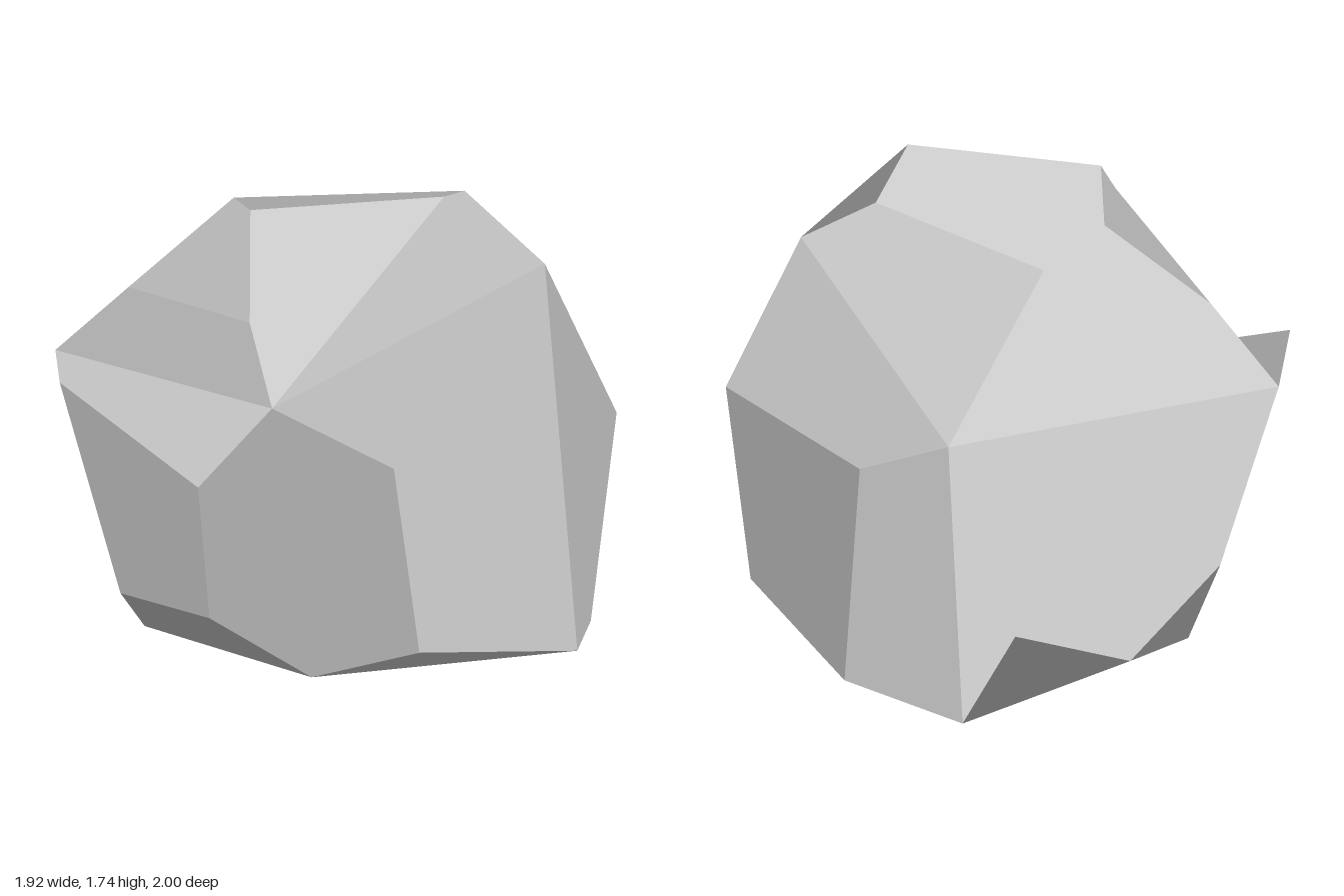
import * as THREE from 'three';

// Corner points of the boulder
const P = {
  // crown
  A: [-0.40, 1.69, 0.14], B: [0.18, 1.74, 0.57], C: [0.48, 1.70, 0.30], D: [0.62, 1.45, 0.61],
  E: [-0.19, 1.67, -0.24], F: [0.12, 1.60, -0.32], G: [0.70, 1.14, -0.60], H: [-0.66, 1.08, -0.72],
  I: [-0.53, 1.34, -0.44], J: [-0.69, 1.34, 0.52],
  // girth
  K: [-0.79, 1.06, 0.79], L: [-0.38, 0.82, 1.00], R: [-0.965, 1.04, -0.29], S: [-0.81, 0.71, 0.36],
  U: [0.91, 0.87, 0.67], V: [0.90, 0.96, -0.29], Z: [-0.24, 0.57, -1.00], a: [0.60, 0.46, -0.92],
  // foot
  M: [0.53, 0.04, 0.93], N: [-0.20, 0.10, 0.92], O: [-0.53, 0.01, 0.69], p: [-0.765, 0.215, 0.37],
  Q: [-0.84, 0.26, -0.08], W: [0.96, 0.08, -0.28], X: [0.85, 0.08, 0.59], Y: [0.68, 0.00, -0.67],
  b: [0.12, 0.24, -0.95], c: [-0.36, 0.03, -0.565],
};

// Each facet is one or more triangle fans that share one flat normal
const FACETS = [
  ['EABCF', 'IEFGH'],                                   // top slope
  ['CDGF'], ['BKDC'], ['KBAJ'], ['JAEI'],               // upper facets
  ['LNMDK'], ['DMXU'], ['ONLKSp'],                      // front
  ['UVGD'], ['UXWV'], ['VWYG'],                         // left flank
  ['JIHK'], ['HRSK'], ['SRQp'], ['RHcQ'],               // right flank
  ['GYaZH', 'abZ'], ['ZbcH'], ['baYc'],                 // back
  ['MOcYWX'], ['OMN'], ['OpQc'],                        // underside
];

function facetGeometry(facets) {
  const positions = [], normals = [];
  for (const fans of facets) {
    const normal = new THREE.Vector3();
    let count = 0;
    for (const fan of fans) {
      for (let i = 1; i < fan.length - 1; i++) {
        const [u, v, w] = [fan[0], fan[i], fan[i + 1]].map((k) => new THREE.Vector3(...P[k]));
        positions.push(...u.toArray(), ...v.toArray(), ...w.toArray());
        // area-weighted mean over the facet
        normal.add(v.sub(u).cross(w.sub(u)));
        count += 3;
      }
    }
    normal.normalize();
    for (let i = 0; i < count; i++) normals.push(normal.x, normal.y, normal.z);
  }
  const geometry = new THREE.BufferGeometry();
  geometry.setAttribute('position', new THREE.Float32BufferAttribute(positions, 3));
  geometry.setAttribute('normal', new THREE.Float32BufferAttribute(normals, 3));
  return geometry;
}

export function createModel() {
  const stone = new THREE.MeshStandardMaterial({ color: 0xc8c8c8 });
  stone.name = 'stone grey';
  const boulder = new THREE.Mesh(facetGeometry(FACETS), stone);
  boulder.name = 'boulder';
  const model = new THREE.Group();
  model.name = 'rock';
  model.add(boulder);
  return model;
}
